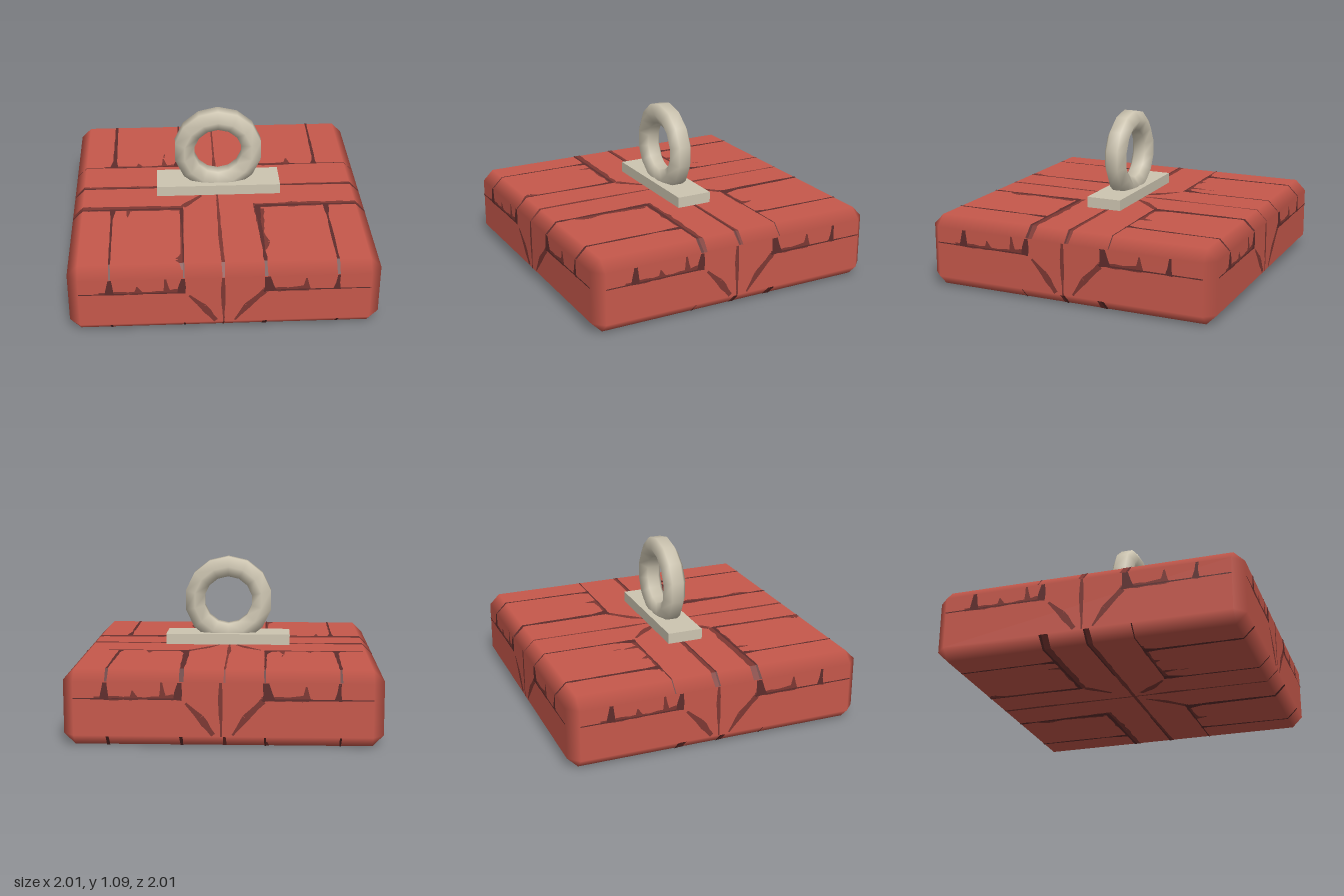
import * as THREE from 'three';
import { mergeVertices } from 'three/addons/utils/BufferGeometryUtils.js';
import { ConvexGeometry } from 'three/addons/geometries/ConvexGeometry.js';

const H = 0.48, C = 0.07, E = 1 - C; // block height, chamfer, start of chamfer

function material(name, color) {
  const m = new THREE.MeshStandardMaterial({ color });
  m.name = name;
  return m;
}

// Chamfered block whose normals stay flat on faces and blend across chamfers
function blockGeometry() {
  const pts = [], h = H / 2;
  for (const x of [-1, 1]) for (const y of [-1, 1]) for (const z of [-1, 1]) {
    pts.push(new THREE.Vector3(x, y * (h - C), z * E));
    pts.push(new THREE.Vector3(x * E, y * h, z * E));
    pts.push(new THREE.Vector3(x * E, y * (h - C), z));
  }
  const g = new ConvexGeometry(pts), p = g.attributes.position;
  for (let i = 0; i < p.count; i++) {
    const x = p.getX(i), y = p.getY(i), z = p.getZ(i);
    if (Math.abs(x) > 0.99) g.attributes.normal.setXYZ(i, Math.sign(x), 0, 0);
    else if (Math.abs(z) > 0.99) g.attributes.normal.setXYZ(i, 0, 0, Math.sign(z));
    else g.attributes.normal.setXYZ(i, 0, Math.sign(y), 0);
  }
  return g.translate(0, h, 0);
}

// Crack paths on a face: points of [u, v, width]
const shallow = [
  [[-0.01, 1, 0.012], [-0.012, 0.45, 0.012], [-0.015, 0.3, 0.028], [-0.01, 0.1, 0.012], [-0.012, -0.3, 0.016], [-0.015, -0.65, 0.024], [-0.01, -1, 0.016]],
  [[-0.23, 0.28, 0.015], [-0.14, 0.19, 0.045], [-0.06, 0.08, 0.03]],
  [[0.25, 0.3, 0.04], [0.14, 0.19, 0.045], [0.06, 0.08, 0.012]],
  [[-0.25, -0.25, 0.04], [-0.12, -0.11, 0.02]],
  [[-1, 0.02, 0.035], [-0.4, 0.018, 0.03], [0.4, 0.015, 0.02], [1, 0.015, 0.03]],
  [[-1, -0.255, 0.05], [-0.6, -0.265, 0.06], [-0.25, -0.27, 0.05]],
  [[0.23, -0.26, 0.06], [0.6, -0.25, 0.055], [1, -0.25, 0.04]],
  [[-0.26, -0.3, 0.02], [-0.27, -0.83, 0.02], [-0.285, -0.89, 0.06], [-0.265, -0.96, 0.02]],
  [[0.265, -0.3, 0.07], [0.26, -0.6, 0.03], [0.28, -0.71, 0.05], [0.265, -0.8, 0.02]],
  [[-0.55, 0.305, 0.06], [-0.56, 0.36, 0.004]],
  [[-0.37, 0.305, 0.05], [-0.38, 0.42, 0.01]], [[-0.375, 0.44, 0.008], [-0.37, 0.49, 0.008]],
  [[0.515, 0.3, 0.06], [0.515, 0.39, 0.01]],
  [[-0.62, -0.28, 0.03], [-0.625, -0.37, 0.006]],
  [[-0.8, 0.31, 0.02], [-0.66, 0.31, 0.03], [-0.48, 0.31, 0.012], [-0.26, 0.32, 0.035]],
  [[0.24, 0.31, 0.03], [0.4, 0.31, 0.025], [0.53, 0.315, 0.04]],
];
const deep = [
  [[-0.73, 1, 0.018], [-0.73, 0.4, 0.026], [-0.735, 0.3, 0.06]],
  [[-0.26, 1, 0.01], [-0.262, 0.45, 0.016], [-0.28, 0.3, 0.05]],
  [[0.255, 1, 0.025], [0.265, 0.42, 0.035], [0.285, 0.3, 0.08]],
  [[0.725, 1, 0.015], [0.72, 0.4, 0.018], [0.71, 0.3, 0.05]],
  [[-1, 0.306, 0.007], [-0.26, 0.306, 0.008]],
  [[0.24, 0.305, 0.012], [0.53, 0.306, 0.01], [1, 0.306, 0.006]],
  [[-1, 0.005, 0.01], [-0.4, 0.005, 0.008]], [[0.4, 0.008, 0.008], [1, 0.008, 0.01]],
  [[-1, -0.28, 0.018], [-0.26, -0.28, 0.018]], [[0.24, -0.265, 0.022], [1, -0.265, 0.02]],
  [[-0.725, -0.27, 0.04], [-0.73, -0.4, 0.014], [-0.73, -1, 0.014]],
  [[-0.262, -0.27, 0.025], [-0.26, -0.6, 0.008], [-0.262, -1, 0.012]],
  [[0.255, -0.27, 0.05], [0.255, -0.5, 0.022], [0.26, -1, 0.022]],
  [[0.725, -0.27, 0.04], [0.72, -0.4, 0.015], [0.72, -1, 0.018]],
];

// Cut a convex polygon to a rectangle [u0, u1, v0, v1]
function clip(poly, rect) {
  rect.forEach((limit, k) => {
    const axis = k >> 1, sign = k % 2 ? -1 : 1, out = [];
    poly.forEach((a, i) => {
      const b = poly[(i + 1) % poly.length];
      const da = sign * (a[axis] - limit), db = sign * (b[axis] - limit);
      if (da >= 0) out.push(a);
      if (da * db < 0) {
        const t = da / (da - db);
        out.push([a[0] + (b[0] - a[0]) * t, a[1] + (b[1] - a[1]) * t]);
      }
    });
    poly = out;
  });
  return poly;
}

// Thin ragged strips facing up at the given height, bent down over chamfers
function crackGeometry(paths, rects, height) {
  let seed = 7;
  const rand = () => (seed = (seed * 16807) % 2147483647) / 2147483647;
  const pos = [];
  const put = ([u, v]) => pos.push(u, height - Math.max(0, Math.abs(u) - E, Math.abs(v) - E), -v);
  for (const path of paths) for (let s = 0; s < path.length - 1; s++) {
    const a = path[s], b = path[s + 1];
    const dx = b[0] - a[0], dy = b[1] - a[1], len = Math.hypot(dx, dy);
    const n = Math.max(1, Math.ceil(len / 0.06));
    let last = null;
    for (let i = 0; i <= n; i++) {
      const t = i / n, rough = i === 0 || i === n ? 1 : 0.7 + 0.6 * rand();
      const w = (a[2] + (b[2] - a[2]) * t) * rough / 2;
      const u = a[0] + dx * t, v = a[1] + dy * t, nx = -dy / len * w, ny = dx / len * w;
      const cur = [[u - nx, v - ny], [u + nx, v + ny]];
      if (last) for (const rect of rects) {
        const poly = clip([last[0], cur[0], cur[1], last[1]], rect);
        for (let k = 1; k < poly.length - 1; k++) [poly[0], poly[k], poly[k + 1]].forEach(put);
      }
      last = cur;
    }
  }
  const g = new THREE.BufferGeometry();
  g.setAttribute('position', new THREE.Float32BufferAttribute(pos, 3));
  g.computeVertexNormals();
  return g;
}

// Ring with a hexagonal section, smooth around
function ringGeometry() {
  const section = [[0.166, -0.04], [0.235, -0.08], [0.302, -0.04], [0.302, 0.04], [0.235, 0.08], [0.166, 0.04], [0.166, -0.04]];
  const lathe = new THREE.LatheGeometry(section.map(([r, z]) => new THREE.Vector2(r, z)), 14);
  lathe.deleteAttribute('uv');
  lathe.deleteAttribute('normal');
  const g = mergeVertices(lathe, 1e-4);
  g.computeVertexNormals();
  return g.rotateX(-Math.PI / 2);
}

export function createModel() {
  const model = new THREE.Group();
  model.name = 'stoneBlockWithRing';
  const red = material('red stone', 0xc6584b);
  const mid = material('shallow crack', 0x7d3833);
  const dark = material('deep crack', 0x5f2d2c);
  const beige = material('pale metal', 0xcdc5b1);
  const add = (name, geometry, mat) => {
    const mesh = new THREE.Mesh(geometry, mat);
    mesh.name = name;
    model.add(mesh);
    return mesh;
  };

  add('block', blockGeometry(), red);

  // Cracks on top and bottom run over the chamfers; the sides carry the middle band
  const flat = [[-E, E, -E, E], [-E, E, E, 1], [-E, E, -1, -E], [E, 1, -E, E], [-1, -E, -E, E]];
  const band = [[-E, E, C, H - C]];
  for (const [label, paths, mat, lift] of [['shallow', shallow, mid, 0.002], ['deep', deep, dark, 0.004]]) {
    add(label + 'CracksTop', crackGeometry(paths, flat, H + lift), mat);
    add(label + 'CracksBottom', crackGeometry(paths, flat, H + lift).rotateX(Math.PI).translate(0, H, 0), mat);
    for (let i = 0; i < 4; i++) {
      const side = crackGeometry(paths, band, 1 + lift).rotateX(Math.PI / 2).rotateY(i * Math.PI / 2);
      add(label + 'CracksSide' + (i + 1), side, mat);
    }
  }

  // Mounting plate and upright ring
  add('mountingPlate', new THREE.BoxGeometry(0.85, 0.072, 0.24), beige).position.y = 0.527;
  add('ring', ringGeometry(), beige).position.y = 0.788;
  return model;
}
